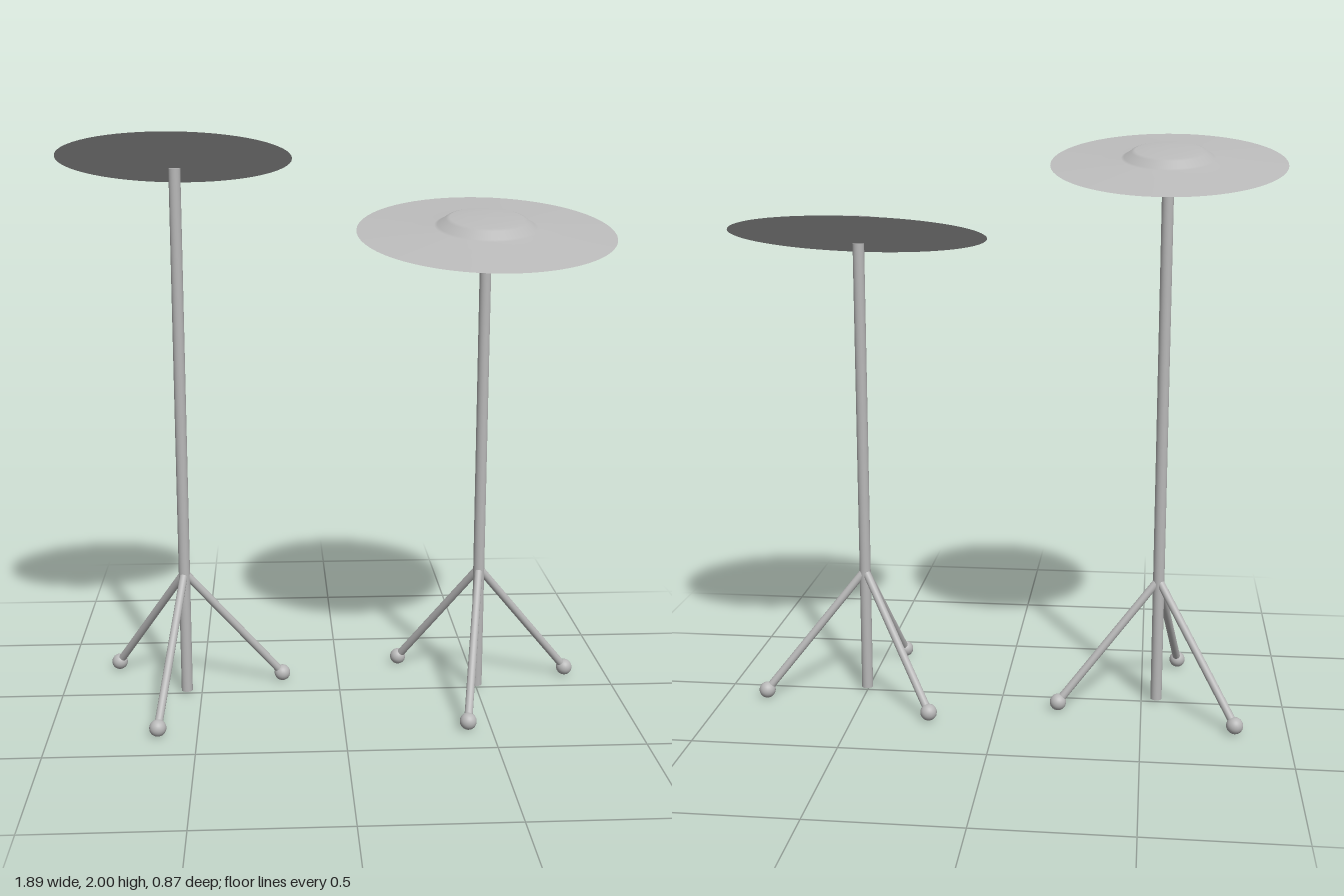
import * as THREE from 'three';

const metal = new THREE.MeshStandardMaterial({ color: 0xb8b8b8 });
metal.name = 'grey metal';

function addMesh(parent, name, geometry) {
  const mesh = new THREE.Mesh(geometry, metal);
  mesh.name = name;
  parent.add(mesh);
  return mesh;
}

// Straight round rod between two points
function addRod(parent, name, a, b, radius) {
  const dir = b.clone().sub(a);
  const rod = addMesh(parent, name, new THREE.CylinderGeometry(radius, radius, dir.length(), 20));
  rod.position.copy(a).add(b).multiplyScalar(0.5);
  rod.quaternion.setFromUnitVectors(new THREE.Vector3(0, 1, 0), dir.normalize());
}

// Shallow cone with a raised bell and a flat underside
function makeCymbal(radius) {
  const cymbal = new THREE.Group();
  cymbal.name = 'cymbal';
  const s = radius / 0.393;
  const profile = [
    [0.393, 0], [0.31, 0.006], [0.23, 0.012], [0.158, 0.018], [0.148, 0.021],
    [0.124, 0.04], [0.112, 0.044], [0.06, 0.0475], [0, 0.0485],
  ].map(([r, y]) => new THREE.Vector2(r * s, y * s));
  addMesh(cymbal, 'cymbalTop', new THREE.LatheGeometry(profile, 64));
  const underside = addMesh(cymbal, 'cymbalUnderside', new THREE.CircleGeometry(radius, 64));
  underside.rotation.x = Math.PI / 2;
  return cymbal;
}

function makeStand({ name, x, poleTop, cymbalY, radius, tilt }) {
  const stand = new THREE.Group();
  stand.name = name;
  stand.position.x = x;
  addRod(stand, 'pole', new THREE.Vector3(0, 0.014, 0), new THREE.Vector3(0, poleTop, 0), 0.02);

  // Tripod legs with ball feet
  const apex = new THREE.Vector3(0, 0.46, 0);
  for (let i = 0; i < 3; i++) {
    const angle = THREE.MathUtils.degToRad(-12.7 + i * 120);
    const foot = new THREE.Vector3(Math.sin(angle) * 0.362, 0.03, Math.cos(angle) * 0.362);
    addRod(stand, 'leg', apex, foot, 0.014);
    addMesh(stand, 'foot', new THREE.SphereGeometry(0.029, 24, 16)).position.copy(foot);
  }
  // Hub where the legs meet
  addMesh(stand, 'legHub', new THREE.SphereGeometry(0.016, 16, 12)).position.copy(apex);

  const cymbal = makeCymbal(radius);
  cymbal.position.y = cymbalY;
  cymbal.rotation.x = THREE.MathUtils.degToRad(tilt);
  stand.add(cymbal);
  return stand;
}

export function createModel() {
  const model = new THREE.Group();
  model.name = 'cymbalPair';
  model.add(
    makeStand({ name: 'tallStand', x: -0.553, poleTop: 1.875, cymbalY: 1.905, radius: 0.393, tilt: -14 }),
    makeStand({ name: 'shortStand', x: 0.5, poleTop: 1.63, cymbalY: 1.658, radius: 0.443, tilt: 12.1 }),
  );
  return model;
}
